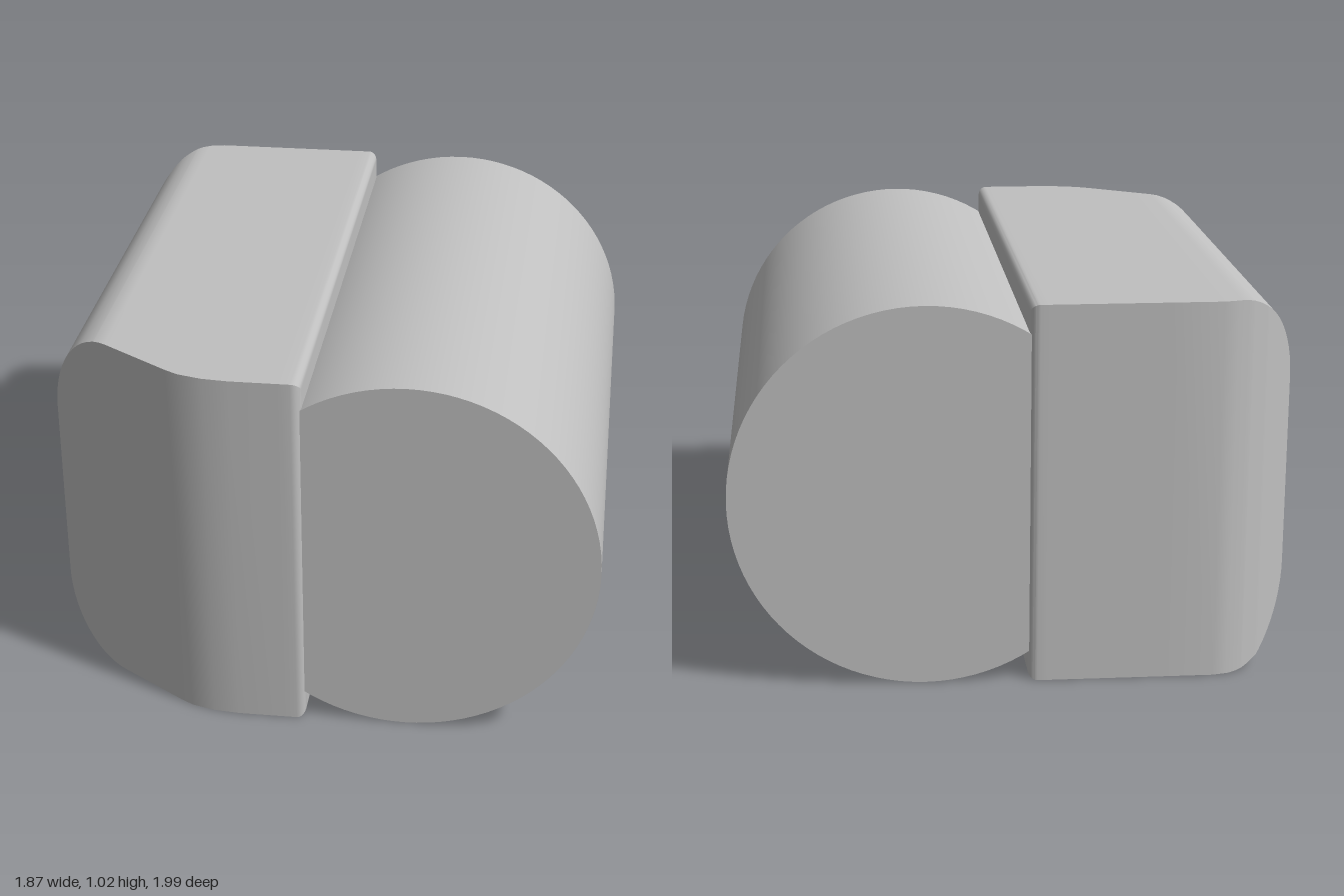
import * as THREE from 'three';
import { toCreasedNormals } from 'three/addons/utils/BufferGeometryUtils.js';

const R = 0.508; // barrel radius and half height of the housing
const LENGTH = 1.615;

// Linear interpolation through [position, value] points
function along(points, p) {
  for (let i = 1; i < points.length; i++) {
    const [p0, v0] = points[i - 1], [p1, v1] = points[i];
    if (p <= p1) return v0 + ((v1 - v0) * (p - p0)) / (p1 - p0);
  }
  return points[points.length - 1][1];
}

// Housing: rectangles lofted outward from the barrel, with chamfered ends and a rounded outer side
function housingGeometry() {
  const inner = 0.268, outer = 0.977, fillet = 0.025, shoulder = 0.805, drop = 0.25;
  const front = [[0.26, -0.012], [0.45, -0.012], [0.52, -0.006], [0.585, 0.012], [0.62, 0.032], [outer, 0.273]];
  const back = [[0.26, 1.627], [0.76, 1.627], [0.8, 1.618], [0.84, 1.6], [0.888, 1.567], [outer, 1.442]];

  const stations = [0.32, 0.45, 0.52, 0.585, 0.62, 0.76, 0.8, 0.84, 0.888];
  for (let i = 0; i <= 6; i++) stations.push(inner + fillet * (1 - Math.cos((i / 6) * Math.PI / 2)));
  for (let i = 0; i <= 14; i++) stations.push(shoulder + (outer - shoulder) * Math.sin((i / 14) * Math.PI / 2));
  stations.sort((a, b) => a - b);

  const rings = stations.map((v) => {
    const f = Math.max(0, 1 - (v - inner) / fillet);
    const inset = fillet * (1 - Math.sqrt(Math.max(0, 1 - f * f)));
    const s = Math.min(1, Math.max(0, (v - shoulder) / (outer - shoulder)));
    const h = R - drop * (1 - Math.sqrt(1 - s * s)) - inset;
    const z0 = -along(front, v) - inset, z1 = -along(back, v) + inset;
    return [[-v, h, z0], [-v, h, z1], [-v, -h, z1], [-v, -h, z0]];
  });

  const pos = [];
  const quad = (a, b, c, d) => pos.push(...a, ...b, ...c, ...a, ...c, ...d);
  for (let i = 0; i < rings.length - 1; i++) {
    for (let j = 0; j < 4; j++) {
      const k = (j + 1) % 4;
      quad(rings[i][j], rings[i][k], rings[i + 1][k], rings[i + 1][j]);
    }
  }
  const [a, b, c, d] = rings[0];
  quad(d, c, b, a);
  quad(...rings[rings.length - 1]);

  const geo = new THREE.BufferGeometry();
  geo.setAttribute('position', new THREE.Float32BufferAttribute(pos, 3));
  return toCreasedNormals(geo, 0.5);
}

// Closed shape with rounded corners
function roundedShape(corners, r) {
  const pts = corners.map(([x, y]) => new THREE.Vector2(x, y));
  const shape = new THREE.Shape();
  pts.forEach((p, i) => {
    const prev = pts[(i + pts.length - 1) % pts.length], next = pts[(i + 1) % pts.length];
    const s = p.clone().add(prev.clone().sub(p).setLength(r));
    const e = p.clone().add(next.clone().sub(p).setLength(r));
    if (i === 0) shape.moveTo(s.x, s.y);
    else shape.lineTo(s.x, s.y);
    shape.quadraticCurveTo(p.x, p.y, e.x, e.y);
  });
  shape.closePath();
  return shape;
}

// Raised tapered pad with a soft rim
function padGeometry() {
  const shape = roundedShape([[-1.318, -0.318], [-0.4, -0.245], [-0.4, 0.245], [-1.318, 0.318]], 0.12);
  const geo = new THREE.ExtrudeGeometry(shape, {
    depth: 0.048, bevelThickness: 0.03, bevelSize: 0.03, bevelOffset: -0.03, bevelSegments: 6, curveSegments: 10,
  });
  geo.translate(0, 0, 0.93);
  geo.rotateY(-Math.PI / 2);
  return toCreasedNormals(geo, 0.5);
}

export function createModel() {
  const grey = new THREE.MeshStandardMaterial({ color: 0xc0c0c0 });
  grey.name = 'lightGrey';

  const model = new THREE.Group();
  model.name = 'barrelWithHousing';
  const add = (name, geometry) => {
    const mesh = new THREE.Mesh(geometry, grey);
    mesh.name = name;
    model.add(mesh);
  };

  // Barrel lying along the local z axis, its front end at z = 0
  const barrel = new THREE.CylinderGeometry(R, R, LENGTH, 96);
  barrel.rotateX(Math.PI / 2);
  barrel.translate(0, 0, -LENGTH / 2);
  add('barrel', barrel);
  add('housing', housingGeometry());
  add('sidePad', padGeometry());

  // The whole body stands turned about the vertical axis
  model.rotation.y = -0.376;
  model.position.set(-0.13, R, 0.805);

  const root = new THREE.Group();
  root.name = 'model';
  root.add(model);
  return root;
}
